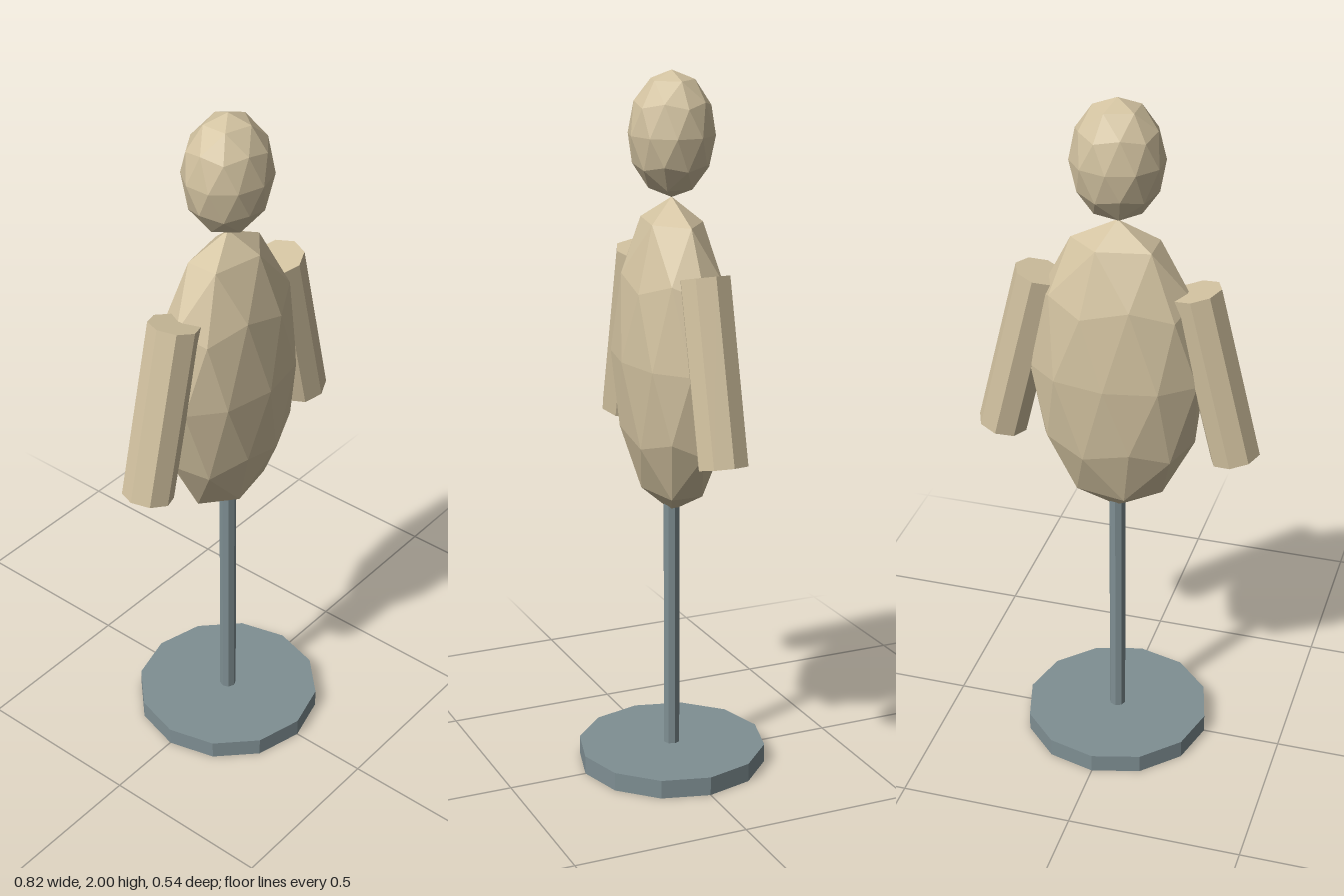
import * as THREE from 'three';

const material = (name, color) => {
  const m = new THREE.MeshStandardMaterial({ color, flatShading: true });
  m.name = name;
  return m;
};

// Faceted ellipsoid with a corner at each pole
function facetedEllipsoid(rx, ry, rz) {
  const geometry = new THREE.IcosahedronGeometry(1, 1);
  geometry.rotateZ(-Math.atan(2 / (1 + Math.sqrt(5))));
  geometry.scale(rx, ry, rz);
  geometry.computeVertexNormals();
  return geometry;
}

export function createModel() {
  const group = new THREE.Group();
  group.name = 'dressForm';
  const linen = material('linen', 0xd2c2a0);
  const steel = material('steel', 0x7f8f93);

  const add = (name, geometry, mat, x, y) => {
    const mesh = new THREE.Mesh(geometry, mat);
    mesh.name = name;
    mesh.position.set(x, y, 0);
    group.add(mesh);
    return mesh;
  };

  // Stand
  add('base', new THREE.CylinderGeometry(0.272, 0.272, 0.054, 12), steel, 0, 0.027);
  add('pole', new THREE.CylinderGeometry(0.024, 0.024, 0.78, 8), steel, 0, 0.43);

  // Torso and head touch at y = 1.66
  add('torso', facetedEllipsoid(0.25, 0.448, 0.151), linen, 0, 1.211);
  add('head', facetedEllipsoid(0.129, 0.171, 0.119), linen, 0, 1.829);

  // Arms slant outward toward the bottom
  for (const [name, side] of [['leftArm', 1], ['rightArm', -1]]) {
    const arm = add(name, new THREE.CylinderGeometry(0.071, 0.071, 0.506, 8), linen, side * 0.279, 1.23);
    arm.rotation.z = side * 0.24;
  }
  return group;
}
